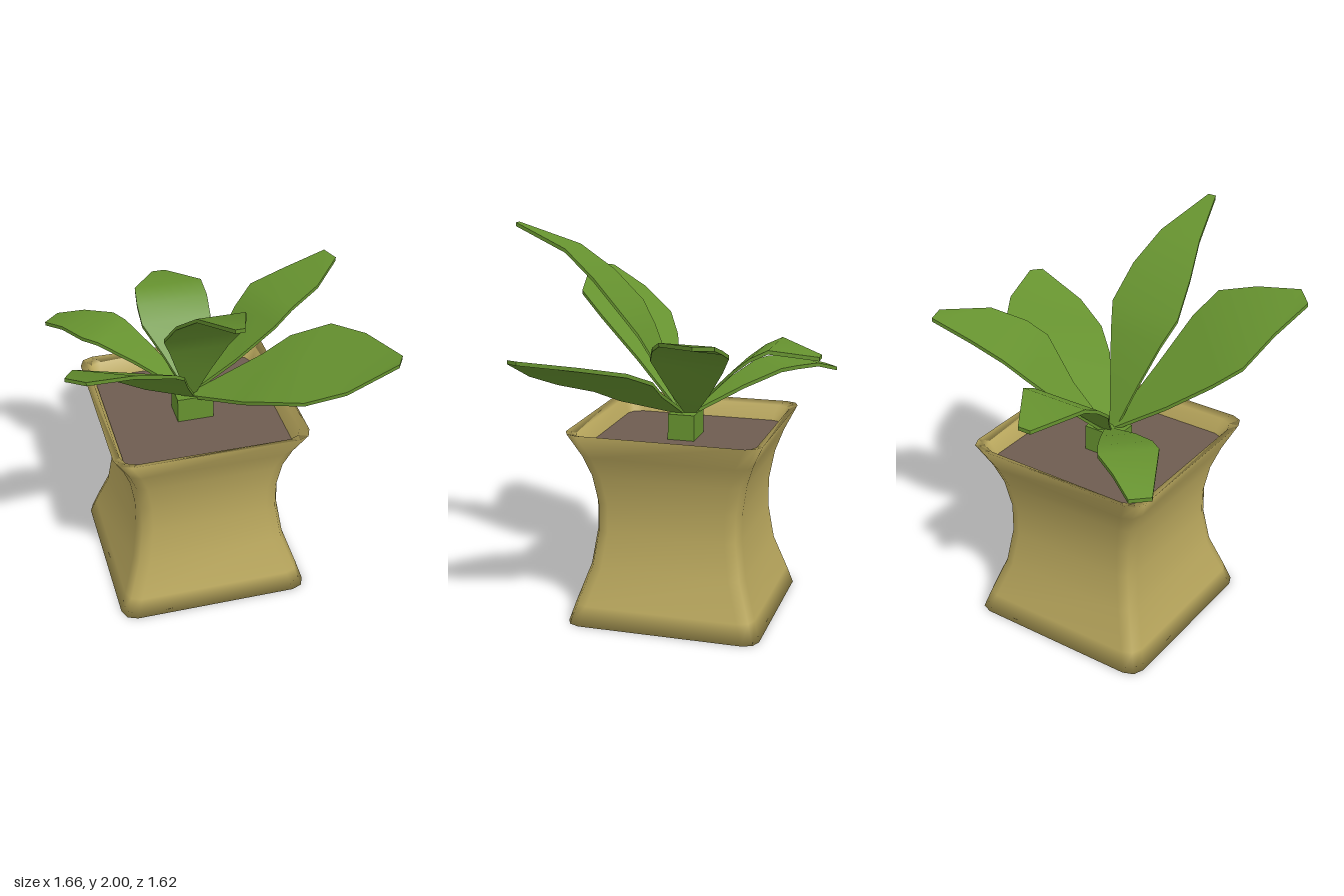
import * as THREE from 'three';

const mat = (name, color, side = THREE.FrontSide) => {
  const m = new THREE.MeshStandardMaterial({ color, side });
  m.name = name;
  return m;
};
const CX = -0.095, CZ = -0.115; // centre of the pot

// Rounded square outline with three points per corner
function roundedSquare(half, radius) {
  const pts = [];
  for (let c = 0; c < 4; c++) {
    const mid = Math.PI / 4 + c * Math.PI / 2;
    const sx = Math.sign(Math.cos(mid)), sz = Math.sign(Math.sin(mid));
    for (let k = 0; k < 3; k++) {
      const a = c * Math.PI / 2 + k * Math.PI / 4;
      pts.push([sx * (half - radius) + radius * Math.cos(a), sz * (half - radius) + radius * Math.sin(a)]);
    }
  }
  return pts;
}

// Pot skin: rounded squares stacked along a profile, closed at the base
function potGeometry(profile) {
  const pos = [0, 0, 0], index = [], n = 12;
  for (const [half, y] of profile)
    for (const [x, z] of roundedSquare(half, 0.075)) pos.push(x, y, z);
  for (let k = 0; k < n; k++) {
    const k2 = (k + 1) % n;
    index.push(0, 1 + k, 1 + k2);
    for (let i = 0; i < profile.length - 1; i++) {
      const a = 1 + i * n + k, b = 1 + i * n + k2;
      index.push(a, a + n, b, b, a + n, b + n);
    }
  }
  const g = new THREE.BufferGeometry();
  g.setAttribute('position', new THREE.Float32BufferAttribute(pos, 3));
  g.setIndex(index);
  g.computeVertexNormals();
  return g;
}

// Leaf: rows of [distance, sideA, sideB, heightA, heightB] along a heading
function leafGeometry(x0, z0, dx, dz, rows) {
  const len = Math.hypot(dx, dz), ux = dx / len, uz = dz / len, T = 0.02;
  const edge = (r, s, y) => [x0 + ux * r - uz * s, y, z0 + uz * r + ux * s];
  const A = rows.map(([r, a, , ya]) => edge(r, a, ya));
  const B = rows.map(([r, , b, , yb]) => edge(r, b, yb));
  const low = (e) => e.map(([x, y, z]) => [x, y - T, z]);
  const A2 = low(A), B2 = low(B), pos = [], index = [];
  const strip = (p, q) => {
    const s = pos.length / 3;
    p.forEach((v, i) => pos.push(...v, ...q[i]));
    for (let i = 0; i < p.length - 1; i++) {
      const o = s + 2 * i;
      index.push(o, o + 1, o + 2, o + 1, o + 3, o + 2);
    }
  };
  const e = rows.length - 1;
  strip(A, B);                        // upper face
  strip(B2, A2);                      // underside
  strip(A2, A);                       // edges
  strip(B, B2);
  strip([A[e], A2[e]], [B[e], B2[e]]); // blunt tip
  const g = new THREE.BufferGeometry();
  g.setAttribute('position', new THREE.Float32BufferAttribute(pos, 3));
  g.setIndex(index);
  g.computeVertexNormals();
  return g;
}
// Level rows with equal sides
const even = (rows) => rows.map(([r, y, w]) => [r, -w, w, y, y]);

export function createModel() {
  const group = new THREE.Group();
  const clay = mat('ochre clay', 0xb9a75d);
  const earth = mat('brown soil', 0x6e5c50);
  const green = mat('leaf green', 0x66922f, THREE.DoubleSide);
  const add = (name, geo, m, x = 0, y = 0, z = 0) => {
    const mesh = new THREE.Mesh(geo, m);
    mesh.name = name;
    mesh.position.set(x, y, z);
    group.add(mesh);
  };

  // Waisted pot with inner lip
  add('pot', potGeometry([
    [0.505, 0], [0.474, 0.1], [0.41, 0.29], [0.382, 0.48], [0.382, 0.63],
    [0.407, 0.78], [0.445, 0.89], [0.505, 1.016], [0.465, 1.0], [0.43, 0.9],
  ]), clay, CX, 0, CZ);

  // Soil surface
  const soil = new THREE.PlaneGeometry(0.87, 0.87).rotateX(-Math.PI / 2);
  add('soil', soil, earth, CX, 0.92, CZ);

  // Short stem
  add('stem', new THREE.BoxGeometry(0.19, 0.14, 0.14), green, CX + 0.005, 0.985, CZ);

  // Six leaves fanning out from the stem
  add('frontLeaf', leafGeometry(-0.105, -0.1, 0, 1, even([
    [0, 1.05, 0.02], [0.1, 1.27, 0.085], [0.2, 1.47, 0.15], [0.28, 1.59, 0.195],
    [0.43, 1.75, 0.17], [0.6, 1.885, 0.115], [0.905, 2.0, 0.022],
  ])), green);
  add('backLeaf', leafGeometry(-0.1, -0.13, 0, -1, even([
    [0, 1.05, 0.02], [0.14, 1.19, 0.1], [0.27, 1.32, 0.185], [0.36, 1.39, 0.19],
    [0.45, 1.435, 0.18], [0.68, 1.385, 0.035],
  ])), green);
  add('backRightLeaf', leafGeometry(-0.1, -0.13, -0.61, -0.635, even([
    [0, 1.05, 0.02], [0.28, 1.18, 0.085], [0.48, 1.255, 0.13], [0.57, 1.265, 0.145],
    [0.73, 1.255, 0.1], [0.88, 1.21, 0.055],
  ])), green);
  add('backLeftLeaf', leafGeometry(-0.09, -0.14, 0.837, -0.287, [
    [0, -0.02, 0.02, 1.05, 1.05], [0.2, -0.08, 0.115, 1.2, 1.22], [0.37, -0.135, 0.22, 1.36, 1.42],
    [0.48, -0.153, 0.215, 1.45, 1.49], [0.66, -0.106, 0.19, 1.51, 1.55], [0.885, -0.05, 0.05, 1.575, 1.575],
  ]), green);
  add('frontLeftLeaf', leafGeometry(-0.1, -0.1, 0.905, 0.574, [
    [0, -0.02, 0.02, 1.05, 1.05], [0.32, -0.195, 0.13, 1.23, 1.15], [0.45, -0.28, 0.18, 1.32, 1.21],
    [0.65, -0.33, 0.215, 1.4, 1.27], [0.85, -0.23, 0.175, 1.44, 1.35], [1.07, -0.036, 0.036, 1.47, 1.465],
  ]), green);
  add('frontRightLeaf', leafGeometry(-0.1, -0.1, -0.69, 0.665, [
    [0, -0.02, 0.02, 1.05, 1.05], [0.25, -0.14, 0.115, 1.3, 1.2], [0.46, -0.256, 0.21, 1.51, 1.36],
    [0.6, -0.3, 0.24, 1.62, 1.46], [0.77, -0.19, 0.16, 1.68, 1.59], [0.96, -0.06, 0.06, 1.71, 1.69],
  ]), green);

  return group;
}
